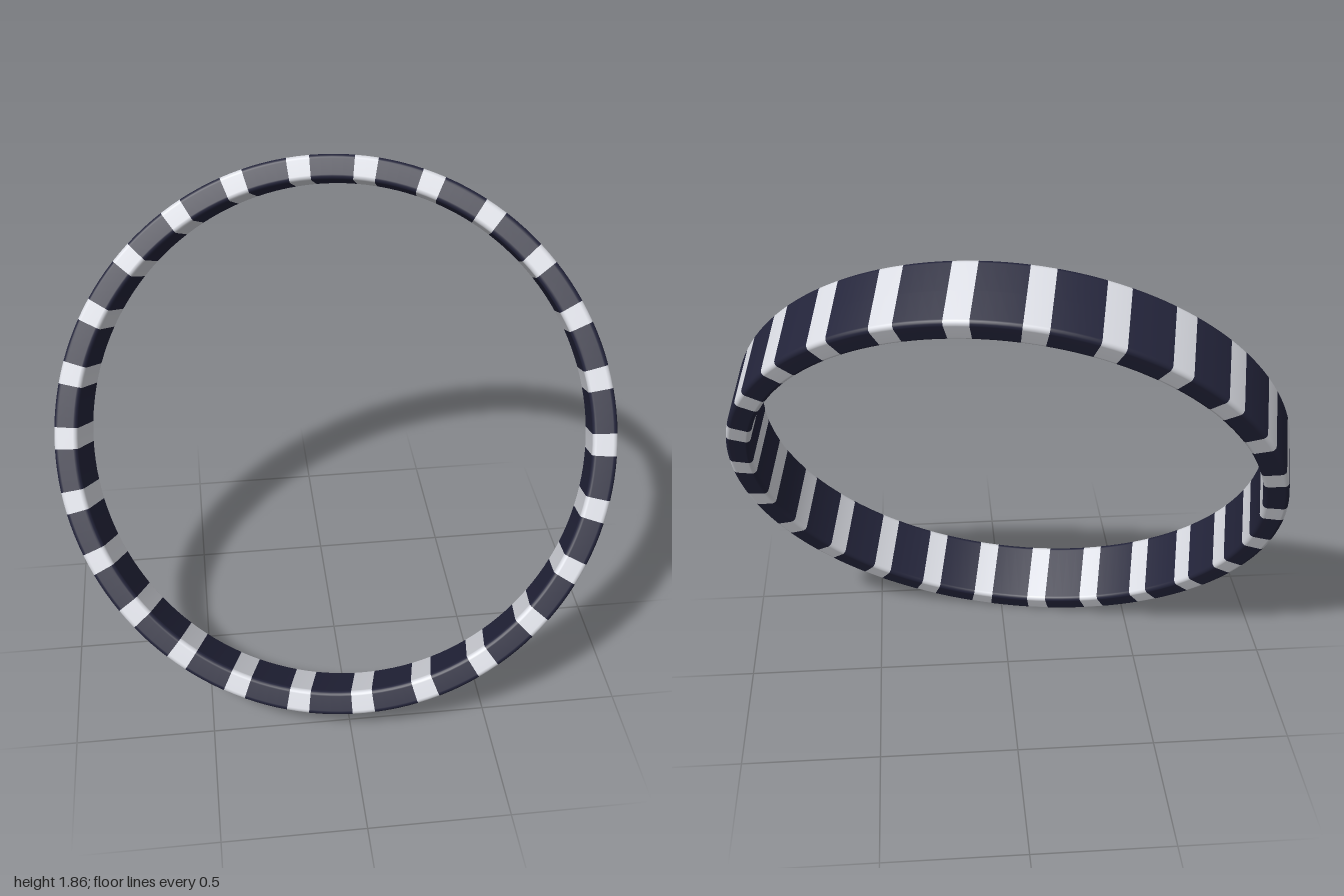
import * as THREE from 'three';

const STRIPES = 26, LIGHT_SHARE = 0.34, PHASE = -0.083;
const INNER = 0.91, OUTER = 0.997, HALF_WIDTH = 0.122, ROUND = 0.016;

// Rounded rectangular section of the band, counterclockwise from the outer middle
function bandProfile() {
  const corners = [
    [OUTER - ROUND, HALF_WIDTH - ROUND],
    [INNER + ROUND, HALF_WIDTH - ROUND],
    [INNER + ROUND, -HALF_WIDTH + ROUND],
    [OUTER - ROUND, -HALF_WIDTH + ROUND],
  ];
  const points = [new THREE.Vector2(OUTER, 0)];
  corners.forEach(([x, y], i) => {
    for (let k = 0; k <= 5; k++) {
      const a = (i + k / 5) * Math.PI / 2;
      points.push(new THREE.Vector2(x + ROUND * Math.cos(a), y + ROUND * Math.sin(a)));
    }
  });
  points.push(new THREE.Vector2(OUTER, 0));
  return points;
}

export function createModel() {
  const navy = new THREE.MeshStandardMaterial({ color: 0x23243a });
  navy.name = 'darkNavy';
  const silver = new THREE.MeshStandardMaterial({ color: 0xd8dae1 });
  silver.name = 'paleSilver';

  const ring = new THREE.Group();
  ring.name = 'stripedRing';
  const profile = bandProfile();
  const step = Math.PI * 2 / STRIPES;
  const light = step * LIGHT_SHARE;

  // Alternating pale and dark sections around the band
  const addSection = (name, material, segments, start, length) => {
    const mesh = new THREE.Mesh(new THREE.LatheGeometry(profile, segments, start, length), material);
    mesh.name = name;
    ring.add(mesh);
  };
  for (let i = 0; i < STRIPES; i++) {
    const start = PHASE + i * step - light / 2;
    addSection('paleStripe', silver, 2, start, light);
    addSection('darkSection', navy, 4, start + light, step - light);
  }

  // Tilt the ring: its axis leans up and slightly sideways from the front
  const axis = new THREE.Vector3(-0.175, 0.473, 0.8635).normalize();
  const across = new THREE.Vector3(axis.z, 0, -axis.x).normalize();
  const up = new THREE.Vector3().crossVectors(axis, across);
  ring.quaternion.setFromRotationMatrix(
    new THREE.Matrix4().makeBasis(across.negate(), axis, up));
  ring.position.y = 0.932;

  const model = new THREE.Group();
  model.name = 'bangle';
  model.add(ring);
  return model;
}
